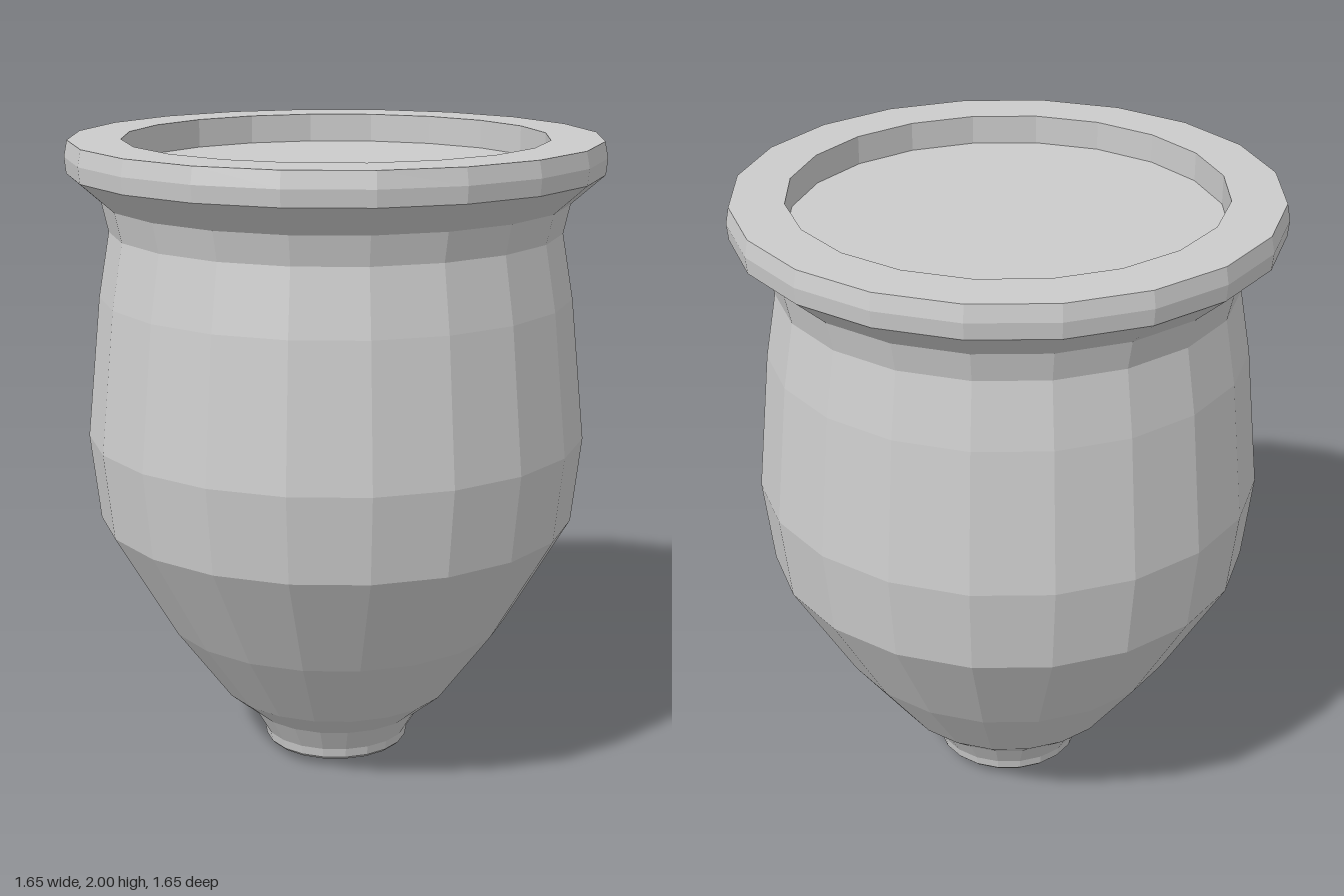
import * as THREE from 'three';

const SIDES = 20;
const material = new THREE.MeshStandardMaterial({
  color: 0xcccccc, flatShading: true, side: THREE.DoubleSide,
});

// Faceted turned part from [radius, height] pairs
function turned(name, profile) {
  const points = profile.map(([r, y]) => new THREE.Vector2(r, y));
  const mesh = new THREE.Mesh(new THREE.LatheGeometry(points, SIDES), material);
  mesh.name = name;
  return mesh;
}

export function createModel() {
  const group = new THREE.Group();
  group.name = 'urn';

  // Foot: shallow rounded underside and a narrow band
  group.add(turned('foot', [
    [0, 0], [0.10, 0], [0.22, 0.03], [0.23, 0.04], [0.235, 0.07],
  ]));

  // Body: tapers out to the belly, then in to the neck
  group.add(turned('body', [
    [0.235, 0.07], [0.278, 0.145], [0.373, 0.225], [0.55, 0.465],
    [0.75, 0.81], [0.78, 1.08], [0.735, 1.52], [0.70, 1.72], [0.72, 1.81],
  ]));

  // Rim: flared collar with a flat top and a vertical inner wall
  group.add(turned('rim', [
    [0.72, 1.81], [0.822, 1.90], [0.827, 1.95], [0.817, 2.0],
    [0.655, 2.0], [0.655, 1.91],
  ]));

  // Recessed flat surface inside the rim
  group.add(turned('recessedLid', [[0.655, 1.91], [0, 1.91]]));

  return group;
}
